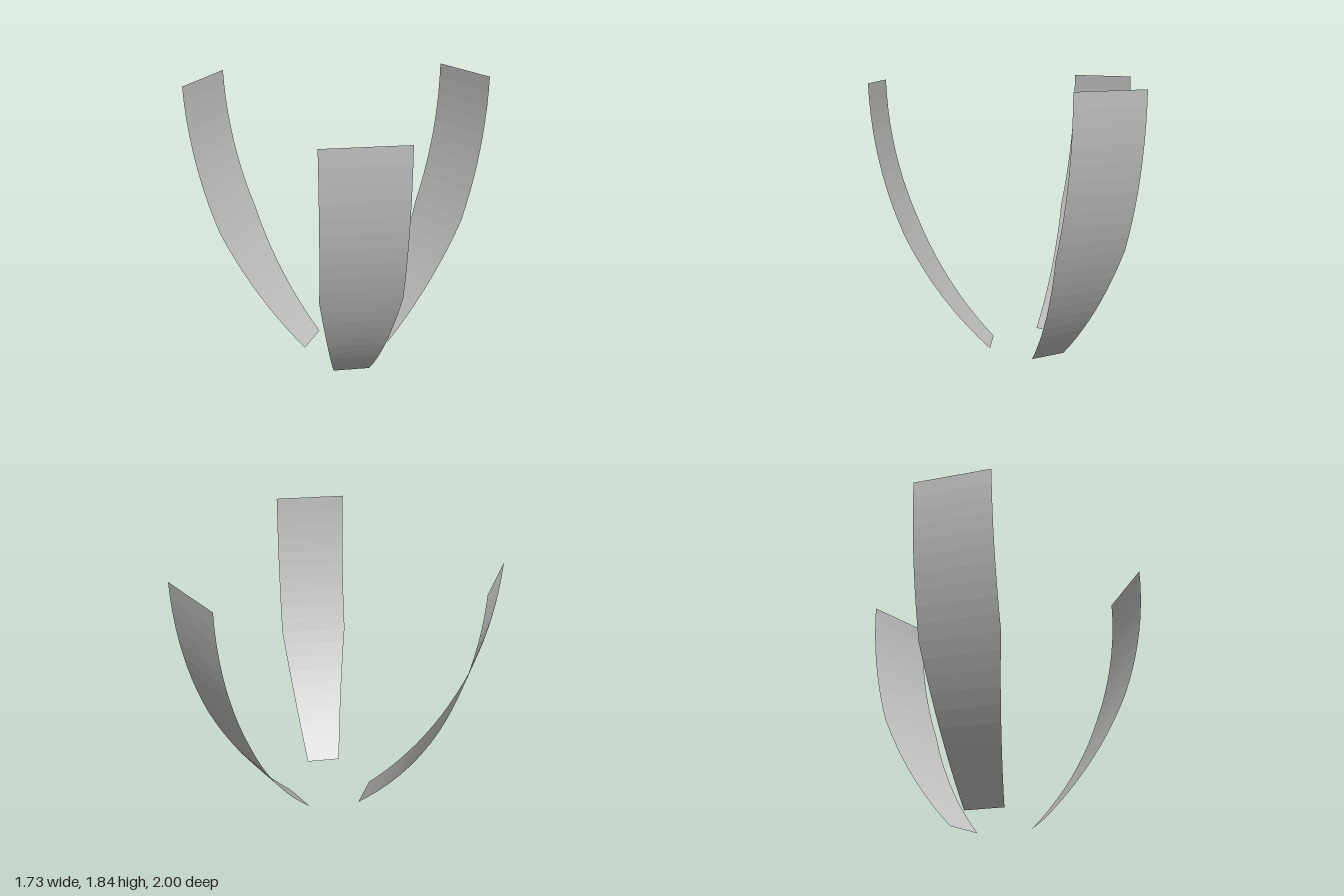
import * as THREE from 'three';

const HEIGHT = 1.835, RADIUS = 2.64, TOP_REACH = 1.015;
const SWEEP = Math.asin(HEIGHT / RADIUS);
const SEGMENTS = 20;

// Thin sheet bent along a circular arc, tapering over its lower half
function bladeGeometry() {
  const geometry = new THREE.PlaneGeometry(2, 1, 1, SEGMENTS);
  const position = geometry.attributes.position;
  for (let i = 0; i < position.count; i++) {
    const t = 0.5 - position.getY(i); // 0 at the tip, 1 at the foot
    const angle = t * SWEEP;
    const halfWidth = 0.242 - 0.121 * Math.max(0, 2 * t - 1);
    position.setXYZ(
      i,
      TOP_REACH - RADIUS * (1 - Math.cos(angle)),
      HEIGHT - RADIUS * Math.sin(angle),
      -position.getX(i) * halfWidth
    );
  }
  geometry.computeVertexNormals();
  return geometry;
}

export function createModel() {
  const group = new THREE.Group();
  group.name = 'curvedBlades';

  const grey = new THREE.MeshStandardMaterial({
    color: 0xc0c0c0, side: THREE.DoubleSide, flatShading: true
  });
  grey.name = 'grey';

  // Three blades evenly spaced around an upright axis
  const geometry = bladeGeometry();
  ['leftBlade', 'backRightBlade', 'frontRightBlade'].forEach((name, i) => {
    const blade = new THREE.Mesh(geometry, grey);
    blade.name = name;
    blade.rotation.y = (i * Math.PI * 2) / 3;
    blade.position.x = -0.149;
    group.add(blade);
  });
  return group;
}
